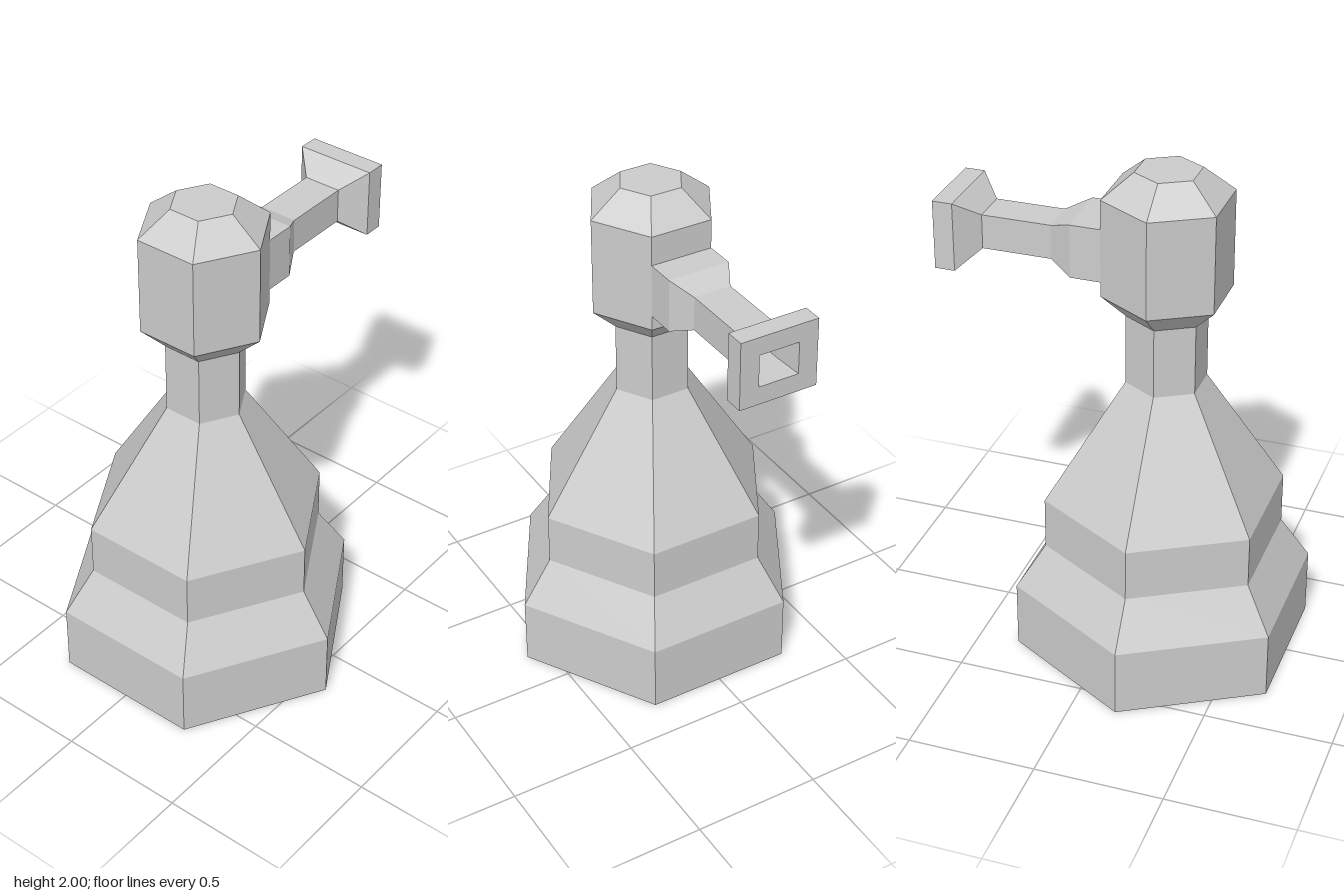
import * as THREE from 'three';

const grey = new THREE.MeshStandardMaterial({ color: 0xcccccc, flatShading: true, side: THREE.DoubleSide });
grey.name = 'plain grey';

const AXIS_X = -0.173;

// Six-sided turned shell with corners on the z axis
function hexTurned(name, profile) {
  const points = profile.map(([r, y]) => new THREE.Vector2(r, y));
  const mesh = new THREE.Mesh(new THREE.LatheGeometry(points, 6), grey);
  mesh.name = name;
  mesh.position.x = AXIS_X;
  return mesh;
}

// Rectangular sections [x, half height, half depth] joined along x
function rectLoft(name, sections) {
  const pos = [];
  const corners = ([x, h, d]) => [[x, -h, d], [x, -h, -d], [x, h, -d], [x, h, d]];
  const quad = (a, b, c, d) => pos.push(...a, ...b, ...c, ...a, ...c, ...d);
  for (let i = 0; i < sections.length - 1; i++) {
    const p = corners(sections[i]), q = corners(sections[i + 1]);
    for (let k = 0; k < 4; k++) {
      const n = (k + 1) % 4;
      quad(p[k], p[n], q[n], q[k]);
    }
  }
  quad(...corners(sections[sections.length - 1]));
  const geo = new THREE.BufferGeometry();
  geo.setAttribute('position', new THREE.Float32BufferAttribute(pos, 3));
  geo.computeVertexNormals();
  const mesh = new THREE.Mesh(geo, grey);
  mesh.name = name;
  return mesh;
}

export function createModel() {
  const model = new THREE.Group();
  model.name = 'hexagonalPumpWithSpout';

  // Stepped base, open underneath
  model.add(hexTurned('base', [[0.592, 0], [0.592, 0.27], [0.473, 0.448], [0.473, 0.655]]));
  // Sloping shoulder and slim neck
  model.add(hexTurned('neck', [[0.473, 0.655], [0.157, 1.147], [0.157, 1.428]]));
  // Head with bevelled ends and flat top
  model.add(hexTurned('head', [[0.157, 1.428], [0.25, 1.516], [0.25, 1.902], [0.127, 2], [0, 2]]));

  // Side spout: collar, pipe, flared mouth, rim and hollow bore
  const spout = rectLoft('spout', [
    [0.04, 0.106, 0.125], [0.162, 0.106, 0.125],
    [0.253, 0.068, 0.075], [0.525, 0.068, 0.075],
    [0.606, 0.136, 0.158], [0.684, 0.136, 0.158],
    [0.684, 0.064, 0.081], [0.56, 0.064, 0.074], [0.4, 0.064, 0.071],
  ]);
  spout.position.y = 1.68;
  model.add(spout);

  return model;
}
